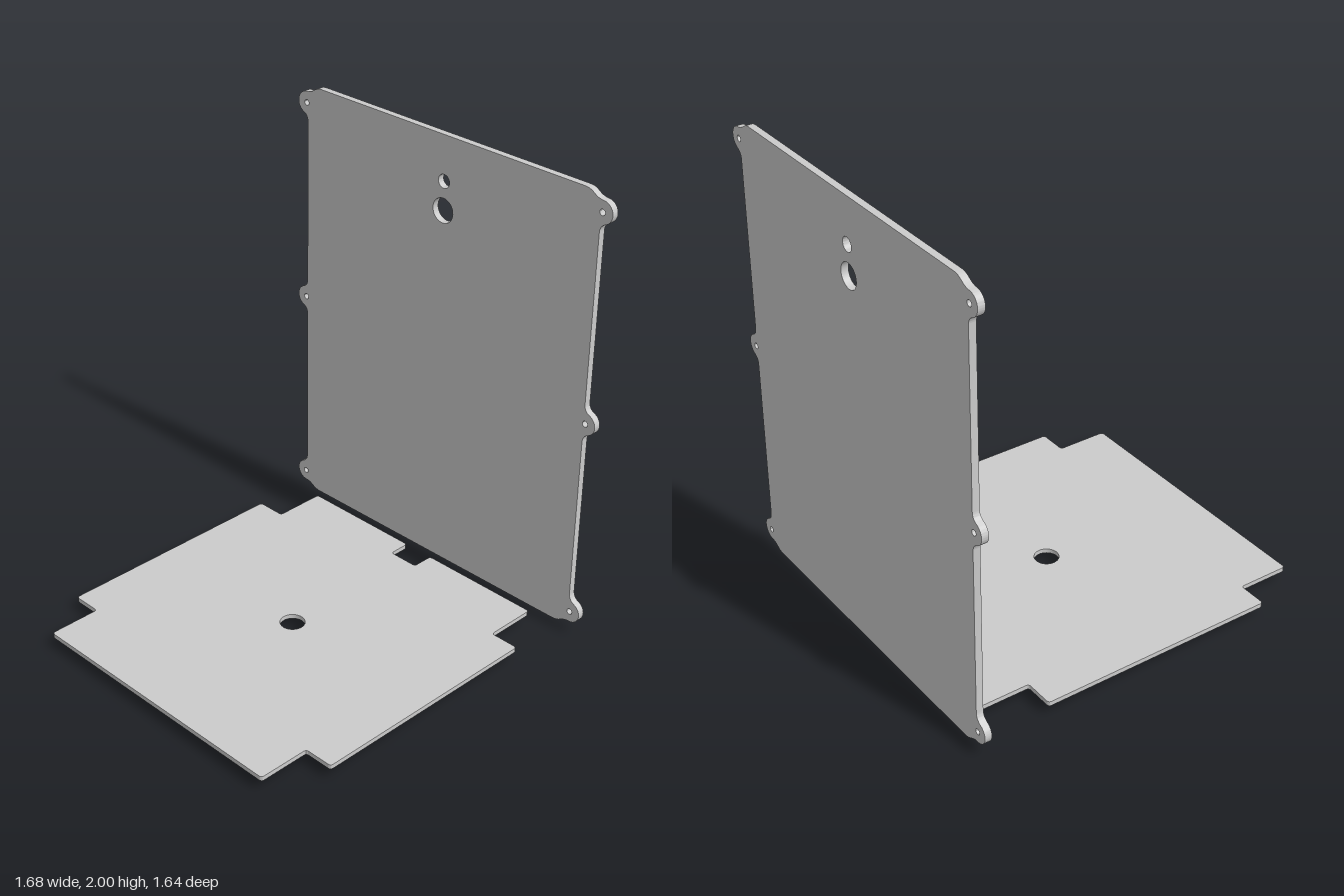
import * as THREE from 'three';
import { toCreasedNormals } from 'three/addons/utils/BufferGeometryUtils.js';

const material = new THREE.MeshStandardMaterial({ color: 0xcccccc });
const CX = -0.004; // shared centre line

function circle(x, y, r) {
  return new THREE.Path().absarc(x, y, r, 0, Math.PI * 2, true);
}

function extrude(shape, depth) {
  const geo = new THREE.ExtrudeGeometry(shape, { depth, bevelEnabled: false, curveSegments: 16 });
  return toCreasedNormals(geo, 0.6);
}

function addMesh(parent, name, geometry) {
  const mesh = new THREE.Mesh(geometry, material);
  mesh.name = name;
  parent.add(mesh);
  return mesh;
}

// Polygon outline with every corner rounded by radius r
function roundedPolygon(points, r) {
  const shape = new THREE.Shape();
  const v = points.map(([x, y]) => new THREE.Vector2(x, y));
  v.forEach((p, i) => {
    const prev = v[(i + v.length - 1) % v.length], next = v[(i + 1) % v.length];
    const a = p.clone().add(prev.clone().sub(p).setLength(r));
    const b = p.clone().add(next.clone().sub(p).setLength(r));
    if (i) shape.lineTo(a.x, a.y); else shape.moveTo(a.x, a.y);
    shape.quadraticCurveTo(p.x, p.y, b.x, b.y);
  });
  shape.closePath();
  return shape;
}

// Upright panel with three screw ears on each side
function backPanel() {
  const earX = 0.789, earR = 0.049, side = 0.782;
  const ears = [0.105, 1.01, 1.92];
  const rad = THREE.MathUtils.degToRad;
  const half = new THREE.Path();
  half.moveTo(0.70, 0.03);
  half.bezierCurveTo(0.745, 0.03, 0.745, 0.056, earX, ears[0] - earR);
  half.absarc(earX, ears[0], earR, rad(-90), rad(65), false);
  half.quadraticCurveTo(side, 0.162, side, 0.195);
  half.lineTo(side, 0.925);
  half.quadraticCurveTo(side, 0.955, earX + earR * Math.cos(rad(65)), ears[1] - earR * Math.sin(rad(65)));
  half.absarc(earX, ears[1], earR, rad(-65), rad(65), false);
  half.quadraticCurveTo(side, 1.065, side, 1.095);
  half.lineTo(side, 1.835);
  half.quadraticCurveTo(side, 1.865, earX + earR * Math.cos(rad(65)), ears[2] - earR * Math.sin(rad(65)));
  half.absarc(earX, ears[2], earR, rad(-65), rad(90), false);
  half.bezierCurveTo(0.745, 1.972, 0.745, 2, 0.70, 2);

  const right = half.getPoints(14);
  const left = right.map((p) => new THREE.Vector2(-p.x, p.y)).reverse();
  const shape = new THREE.Shape([...right, ...left].map((p) => new THREE.Vector2(p.x + CX / 2, p.y)));
  for (const y of ears) {
    for (const s of [-1, 1]) shape.holes.push(circle(s * earX + CX / 2, y, 0.013));
  }
  shape.holes.push(circle(CX, 1.802, 0.03), circle(CX, 1.675, 0.054));
  return extrude(shape, 0.031);
}

// Flat plate with notched corners, a rear slot and a centre hole
function basePlate() {
  const shape = roundedPolygon([
    [-0.635, -0.72], [-0.07, -0.72], [-0.07, -0.622], [0.07, -0.622], [0.07, -0.72], [0.635, -0.72],
    [0.635, -0.487], [0.767, -0.487], [0.767, 0.586], [0.635, 0.586], [0.635, 0.82],
    [-0.635, 0.82], [-0.635, 0.586], [-0.767, 0.586], [-0.767, -0.487], [-0.635, -0.487],
  ].map(([x, z]) => [x + CX, z]), 0.015);
  shape.holes.push(circle(CX, 0.05, 0.053));
  return extrude(shape, 0.02).rotateX(Math.PI / 2);
}

// Hollow round standoff
function standoff(r) {
  const shape = new THREE.Shape().absarc(0, 0, r, 0, Math.PI * 2, false);
  shape.holes.push(circle(0, 0, r * 0.5));
  return extrude(shape, 0.046).rotateX(Math.PI / 2);
}

export function createModel() {
  const model = new THREE.Group();
  model.name = 'mountingPlates';

  addMesh(model, 'backPanel', backPanel()).position.z = -0.825;
  addMesh(model, 'basePlate', basePlate()).position.y = 0.065;

  // Standoffs under the base plate, as [x, z] pairs
  const standoffs = new THREE.Group();
  standoffs.name = 'standoffs';
  const large = standoff(0.026), small = standoff(0.02);
  const largeSpots = [
    [0.108, -0.465], [0.068, -0.27], [-0.095, -0.355], [0.085, -0.05], [-0.17, -0.145], [-0.445, -0.27],
    [-0.43, -0.05], [-0.17, 0.275], [-0.68, -0.145], [-0.68, 0.275],
  ];
  const smallSpots = [[0.658, -0.28], [0.658, 0.105], [0.327, 0.105], [0.327, -0.28]];
  for (const [geo, spots] of [[large, largeSpots], [small, smallSpots]]) {
    for (const [x, z] of spots) addMesh(standoffs, 'standoff', geo).position.set(x, 0.046, z);
  }
  model.add(standoffs);
  return model;
}
